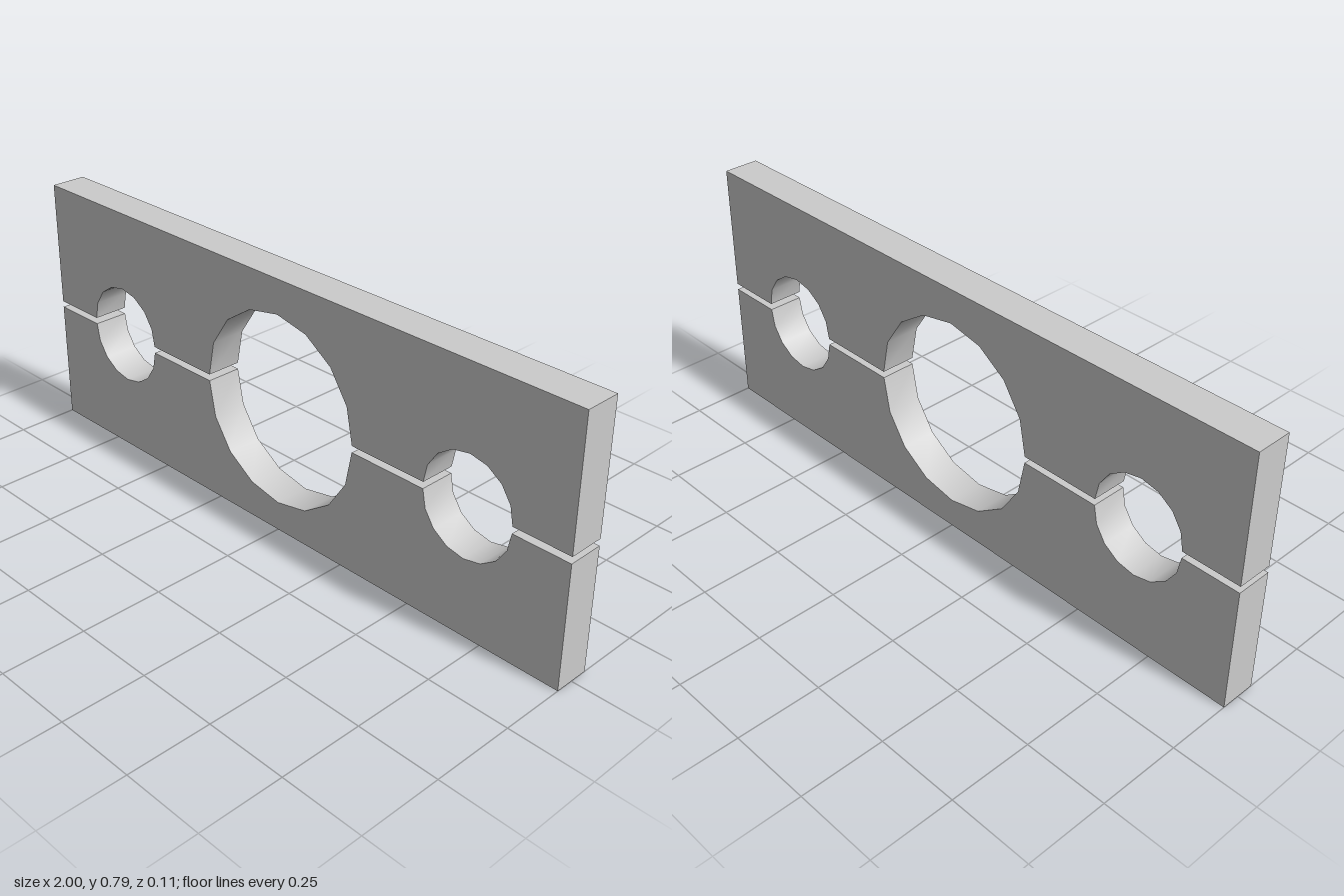
import * as THREE from 'three';
import { toCreasedNormals } from 'three/addons/utils/BufferGeometryUtils.js';

const DEPTH = 0.11;
const SEGMENTS = 8; // facets per half bore
const BORES = [[-0.68, 0.143], [0, 0.286], [0.68, 0.143]]; // centre x, radius

// Plate standing on y = 0 with half-round notches cut into its top edge
function clampHalf(name, height) {
  const shape = new THREE.Shape();
  shape.moveTo(1, 0);
  shape.lineTo(1, height);
  shape.lineTo(-1, height);
  shape.lineTo(-1, 0);
  shape.closePath();

  const outline = [new THREE.Vector2(-1, 0), new THREE.Vector2(1, 0), new THREE.Vector2(1, height)];
  for (const [x, r] of [...BORES].reverse()) {
    for (let i = 0; i <= SEGMENTS; i++) {
      const a = (i / SEGMENTS) * Math.PI;
      outline.push(new THREE.Vector2(x + r * Math.cos(a), height - r * Math.sin(a)));
    }
  }
  outline.push(new THREE.Vector2(-1, height));

  const geometry = new THREE.ExtrudeGeometry(new THREE.Shape(outline), { depth: DEPTH, bevelEnabled: false });
  geometry.translate(0, 0, -DEPTH / 2);
  const mesh = new THREE.Mesh(
    toCreasedNormals(geometry, 0.6),
    new THREE.MeshStandardMaterial({ color: 0xcccccc })
  );
  mesh.name = name;
  return mesh;
}

export function createModel() {
  const group = new THREE.Group();
  group.name = 'splitClamp';

  const lower = clampHalf('lowerClampHalf', 0.377);

  // Upper half is turned over so its notches face the lower half
  const upper = clampHalf('upperClampHalf', 0.39);
  upper.rotation.z = Math.PI;
  upper.position.y = 0.787;

  group.add(lower, upper);
  return group;
}
